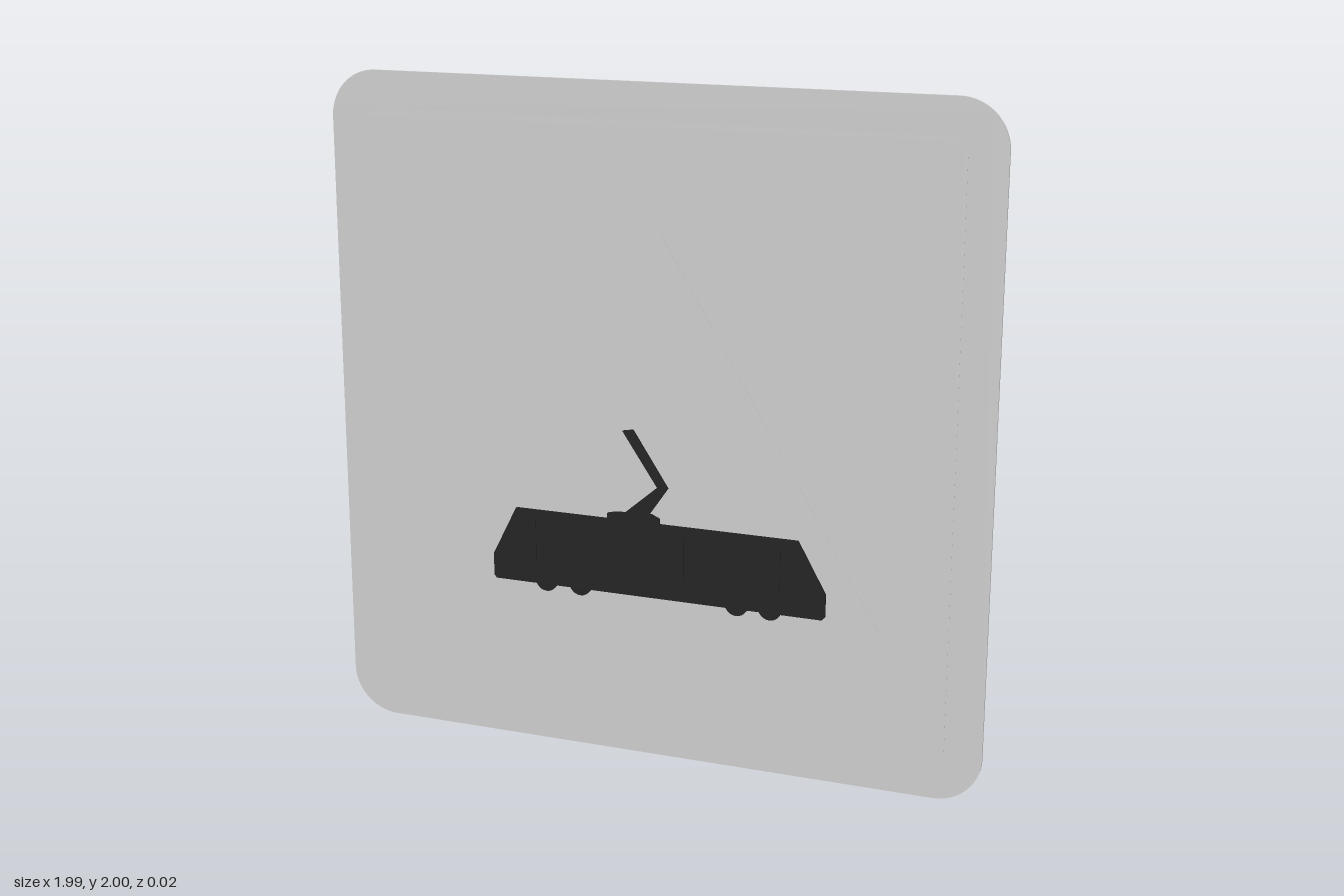
import * as THREE from 'three';

const grey = new THREE.MeshStandardMaterial({ color: 0xcccccc });
const dark = new THREE.MeshStandardMaterial({ color: 0x222222 });

const polygon = (points) => new THREE.Shape(points.map(([x, y]) => new THREE.Vector2(x, y)));

// Flat shape given thickness between two depths
function slab(name, shape, back, front, material) {
  const geometry = new THREE.ExtrudeGeometry(shape, {
    depth: front - back, bevelEnabled: false, curveSegments: 12,
  });
  geometry.translate(0, 0, back);
  const mesh = new THREE.Mesh(geometry, material);
  mesh.name = name;
  return mesh;
}

function roundedPlate(halfWidth, bottom, top, r) {
  const shape = new THREE.Shape();
  shape.absarc(halfWidth - r, bottom + r, r, -Math.PI / 2, 0);
  shape.absarc(halfWidth - r, top - r, r, 0, Math.PI / 2);
  shape.absarc(r - halfWidth, top - r, r, Math.PI / 2, Math.PI);
  shape.absarc(r - halfWidth, bottom + r, r, Math.PI, Math.PI * 1.5);
  return shape;
}

function createTram() {
  const tram = new THREE.Group();
  tram.name = 'tram';
  const add = (name, points, front = 0.008) =>
    tram.add(slab(name, polygon(points), 0, front, dark));

  add('tramBody', [
    [-0.495, 0.5], [0.52, 0.5], [0.529, 0.51], [0.529, 0.578],
    [0.445, 0.729], [-0.428, 0.729], [-0.503, 0.578], [-0.503, 0.51],
  ]);
  add('roofBase', [[-0.136, 0.725], [-0.024, 0.725], [-0.024, 0.745], [0.026, 0.725],
    [0.026, 0.745], [0, 0.757], [-0.11, 0.752], [-0.136, 0.746]].filter((p, i) => i !== 2 && i !== 1));
  add('pantograph', [
    [-0.085, 0.75], [-0.008, 0.752], [0.052, 0.84], [-0.056, 1.006], [-0.088, 1.0], [0.019, 0.84],
  ]);

  // Raised door strips and the slanted windscreen
  for (const [x, low, high] of [
    [-0.378, 0.57, 0.7], [-0.063, 0.574, 0.702], [0.087, 0.574, 0.702], [0.38, 0.564, 0.713],
  ]) {
    add('door', [[x - 0.014, low], [x + 0.014, low], [x + 0.014, high], [x - 0.014, high]], 0.01);
  }
  add('windscreen', [[0.505, 0.57], [0.522, 0.57], [0.443, 0.715], [0.432, 0.705]], 0.01);

  // Two pairs of wheels
  for (const x of [-0.332, -0.223, 0.263, 0.364]) {
    const circle = new THREE.Shape().absarc(x, 0.514, 0.035, 0, Math.PI * 2);
    tram.add(slab('wheel', circle, 0, 0.008, dark));
  }
  return tram;
}

export function createModel() {
  const sign = new THREE.Group();
  sign.name = 'roadSign';

  // Layered plate: backing, inner field, warning triangle and its centre
  sign.add(slab('backingPlate', roundedPlate(0.995, 0, 2, 0.14), -0.01, -0.003, grey));
  sign.add(slab('innerField', roundedPlate(0.885, 0.116, 1.89, 0.03), -0.004, -0.002, grey));
  sign.add(slab('triangleBorder', polygon([[-0.82, 0.39], [0.82, 0.39], [0, 1.76]]), -0.003, -0.001, grey));
  sign.add(slab('triangleCentre', polygon([[-0.7, 0.458], [0.7, 0.458], [0, 1.625]]), -0.002, 0.001, grey));
  sign.add(createTram());
  return sign;
}
